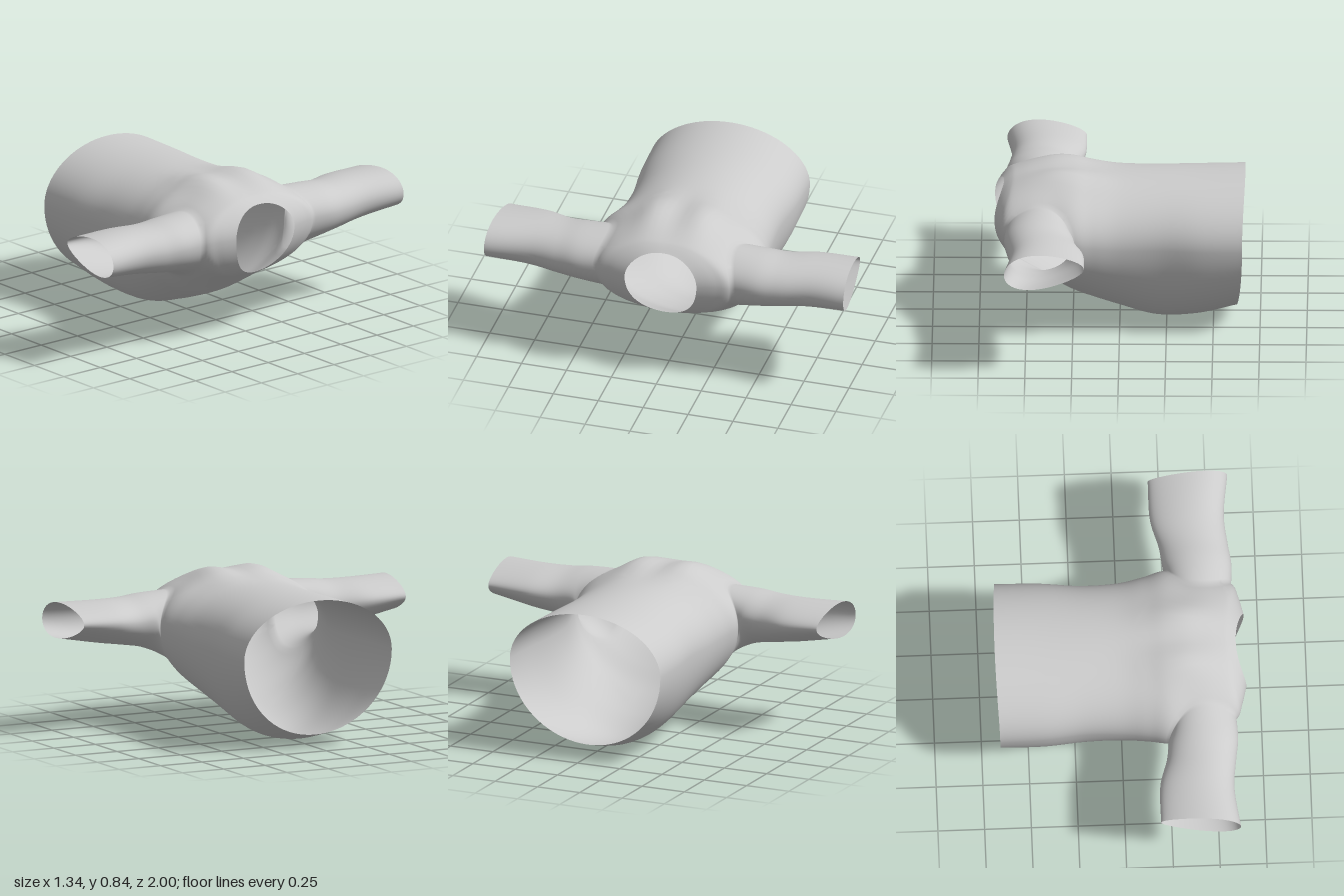
import * as THREE from 'three';
import { mergeVertices } from 'three/addons/utils/BufferGeometryUtils.js';

// Body rings from hem to neck: x at top, side, bottom; half width; y of side, top, bottom
const RINGS = [
  [-0.67, -0.655, -0.62, 0.445, 0.50, 0.80, 0.065],
  [-0.42, -0.42, -0.42, 0.44, 0.50, 0.795, 0.012],
  [-0.20, -0.20, -0.20, 0.418, 0.50, 0.795, 0.0],
  [0.0, 0.0, 0.0, 0.425, 0.50, 0.797, 0.06],
  [0.14, 0.14, 0.14, 0.45, 0.52, 0.805, 0.112],
  [0.25, 0.25, 0.25, 0.475, 0.54, 0.815, 0.16],
  [0.36, 0.37, 0.35, 0.45, 0.55, 0.815, 0.22],
  [0.47, 0.49, 0.44, 0.43, 0.57, 0.80, 0.275],
  [0.55, 0.61, 0.52, 0.38, 0.58, 0.78, 0.32],
  [0.585, 0.645, 0.55, 0.30, 0.59, 0.765, 0.335],
  [0.62, 0.67, 0.58, 0.20, 0.59, 0.74, 0.35],
];
// Sleeve sections: z, x min, x max, y of the edges, y top, y bottom
const SLEEVE = [
  [0.50, 0.245, 0.615, 0.58, 0.71, 0.42],
  [0.61, 0.23, 0.60, 0.58, 0.70, 0.44],
  [0.76, 0.19, 0.585, 0.59, 0.70, 0.465],
  [0.985, 0.185, 0.612, 0.60, 0.70, 0.505],
];
const STEP = 6, COLS = 72, ROWS = (RINGS.length - 1) * STEP;
const HOLE = { from: 5 * STEP, to: 8 * STEP, half: 8 };   // armhole in grid rows and columns

// Smooth interpolation of a ring at parameter t
function ringAt(t) {
  const n = RINGS.length - 1;
  const i = Math.min(Math.floor(t), n - 1), f = t - i;
  const a = RINGS[Math.max(i - 1, 0)], b = RINGS[i], c = RINGS[i + 1], d = RINGS[Math.min(i + 2, n)];
  return b.map((v, k) => v + 0.5 * f * (c[k] - a[k]
    + f * (2 * a[k] - 5 * v + 4 * c[k] - d[k] + f * (3 * (v - c[k]) + d[k] - a[k]))));
}

// Body point at grid row and column; column 0 faces +z, a quarter turn on is the top
function bodyPoint(row, col) {
  let c = ((col + COLS / 2) % COLS + COLS) % COLS - COLS / 2;
  let side = 1;
  if (Math.abs(c) > COLS / 4) {
    side = -1;
    c = Math.sign(c) * COLS / 2 - c;
  }
  // round the rectangular armhole into an ellipse
  const mid = (HOLE.from + HOLE.to) / 2, halfRows = (HOLE.to - HOLE.from) / 2;
  const u = (row - mid) / halfRows, v = c / HOLE.half;
  const s = Math.max(Math.abs(u), Math.abs(v));
  const k = s > 0 ? THREE.MathUtils.lerp(s / Math.hypot(u, v), 1, THREE.MathUtils.clamp(s - 1, 0, 1)) : 1;
  const [xt, xs, xb, w, ys, yt, yb] = ringAt((mid + u * k * halfRows) / STEP);
  const a = (v * k * HOLE.half / COLS) * Math.PI * 2;
  const sn = Math.sin(a), z = w * Math.cos(a);
  const x = xs + ((sn > 0 ? xt : xb) - xs) * sn * sn;
  let y = ys + (sn > 0 ? yt - ys : ys - yb) * sn;
  // soft ridges on either side of the spine
  if (sn > 0) y += 0.033 * sn * Math.exp(-(((z - 0.14) / 0.09) ** 2)) * Math.exp(-(((x - 0.32) / 0.2) ** 2));
  return new THREE.Vector3(x, y, z * side);
}

// Turns a grid of points into triangles
function addGrid(out, grid, skip = () => false, flip = false) {
  for (let i = 0; i < grid.length - 1; i++) {
    for (let j = 0; j < grid[i].length - 1; j++) {
      if (skip(i, j)) continue;
      const a = grid[i][j], b = grid[i + 1][j], c = grid[i + 1][j + 1], d = grid[i][j + 1];
      for (const p of flip ? [a, c, b, a, d, c] : [a, b, c, a, c, d]) out.push(p.x, p.y, p.z);
    }
  }
}

// Grid corners around the armhole, counter-clockwise seen from +z
function armholeLoop() {
  const { from, to, half } = HOLE, loop = [];
  for (let c = -half; c < half; c++) loop.push([to, c]);
  for (let r = to; r > from; r--) loop.push([r, half]);
  for (let c = half; c > -half; c--) loop.push([from, c]);
  for (let r = from; r <= to; r++) loop.push([r, -half]);
  return loop;
}

function sleeveGrid() {
  const mid = (HOLE.from + HOLE.to) / 2, halfRows = (HOLE.to - HOLE.from) / 2;
  return armholeLoop().map(([row, col]) => {
    const phi = Math.atan2(col / HOLE.half, (row - mid) / halfRows);
    const cs = Math.cos(phi), sn = Math.sin(phi);
    const points = [bodyPoint(row, col)];
    SLEEVE.forEach(([z, x0, x1, ys, yt, yb], i) => {
      const q = i / (SLEEVE.length - 1);
      // the cuff is pinched towards the armpit side
      const h = sn * (1 + 0.3 * q * cs) / (1 + 0.04 * q);
      points.push(new THREE.Vector3(
        (x0 + x1) / 2 + cs * (x1 - x0) / 2,
        ys + h * (sn > 0 ? yt - ys : ys - yb) - 0.012 * q * cs,
        z + 0.015 * q * cs));
    });
    return new THREE.CatmullRomCurve3(points).getPoints(28);
  });
}

export function createModel() {
  const out = [];

  // body with two armholes
  const body = [];
  for (let r = 0; r <= ROWS; r++) {
    body.push(Array.from({ length: COLS + 1 }, (_, c) => bodyPoint(r, c)));
  }
  const inHole = (r, c) => {
    const m = (c + 0.5 + COLS / 4) % (COLS / 2) - COLS / 4;
    return r >= HOLE.from && r < HOLE.to && Math.abs(m) < HOLE.half;
  };
  addGrid(out, body, inHole);

  // sleeves, mirrored front to back
  const sleeve = sleeveGrid();
  addGrid(out, sleeve);
  const mirrored = sleeve.map((line) => line.map((p) => new THREE.Vector3(p.x, p.y, -p.z)));
  addGrid(out, mirrored, undefined, true);

  let geometry = new THREE.BufferGeometry();
  geometry.setAttribute('position', new THREE.Float32BufferAttribute(out, 3));
  geometry = mergeVertices(geometry, 1e-4);
  geometry.computeVertexNormals();

  const shirt = new THREE.Mesh(geometry,
    new THREE.MeshStandardMaterial({ color: 0xcccccc, side: THREE.DoubleSide }));
  shirt.name = 'shirt';
  const group = new THREE.Group();
  group.name = 'shortSleevedShirt';
  group.add(shirt);
  return group;
}
